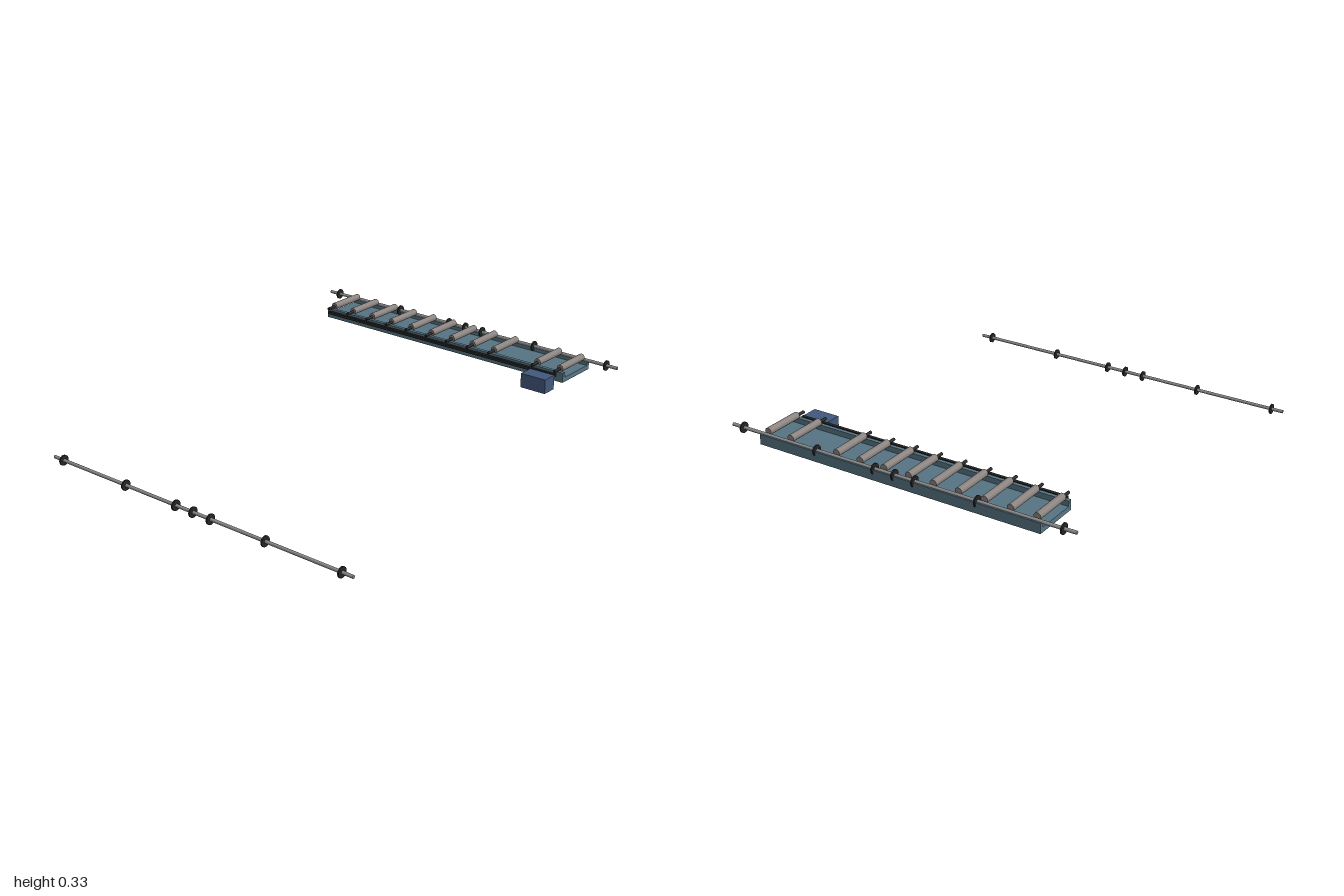
import * as THREE from 'three';

const mat = (color) => new THREE.MeshStandardMaterial({ color });

export function createModel() {
  const model = new THREE.Group();
  const steel = mat(0x8c8c8c), dark = mat(0x242424), rollerMat = mat(0x8a827e);
  const blue = mat(0x567484), motorBlue = mat(0x42587c);

  const add = (parent, name, geometry, material, x, y, z) => {
    const mesh = new THREE.Mesh(geometry, material);
    mesh.name = name;
    mesh.position.set(x, y, z);
    parent.add(mesh);
    return mesh;
  };
  const rod = (r, length, axis) => {
    const g = new THREE.CylinderGeometry(r, r, length, 20);
    return axis === 'x' ? g.rotateZ(Math.PI / 2) : g.rotateX(Math.PI / 2);
  };

  // Line shafts with thin wheels spaced along them
  const wheelX = [-0.815, -0.41, -0.102, 0, 0.102, 0.41, 0.815];
  const shaft = (name, y, z) => {
    const group = new THREE.Group();
    group.name = name;
    group.position.set(0, y, z);
    add(group, 'shaftRod', rod(0.008, 1.75, 'x'), steel, 0, 0, 0);
    for (const x of wheelX) add(group, 'shaftWheel', rod(0.025, 0.007, 'x'), dark, x, 0, 0);
    model.add(group);
  };
  shaft('frontShaft', 0.026, 0.975);
  shaft('backShaft', 0.305, -0.975);

  // Channel-shaped bed, open at both ends
  const profile = new THREE.Shape();
  [[0.76, 0.257], [0.99, 0.257], [0.99, 0.305], [0.972, 0.305],
    [0.972, 0.28], [0.778, 0.28], [0.778, 0.305], [0.76, 0.305]]
    .forEach(([z, y], i) => (i ? profile.lineTo(z, y) : profile.moveTo(z, y)));
  const bed = new THREE.ExtrudeGeometry(profile, { depth: 1.43, bevelEnabled: false });
  bed.translate(0, 0, -0.715).rotateY(Math.PI / 2);
  add(model, 'conveyorBed', bed, blue, -0.003, 0, 0);

  // Rollers on a regular pitch with one place left empty
  for (let i = 0; i < 12; i++) {
    if (i === 9) continue;
    const x = -0.689 + i * 0.1247;
    add(model, 'roller', rod(0.017, 0.19, 'z'), rollerMat, x, 0.317, -0.873);
    add(model, 'rollerSpindle', rod(0.007, 0.055, 'z'), dark, x, 0.315, -0.758);
  }

  // Drive belt along the front and its motor
  add(model, 'driveBelt', new THREE.BoxGeometry(1.373, 0.014, 0.014), dark, -0.003, 0.293, -0.739);
  add(model, 'motor', new THREE.BoxGeometry(0.134, 0.07, 0.077), motorBlue, 0.617, 0.262, -0.692);

  return model;
}
